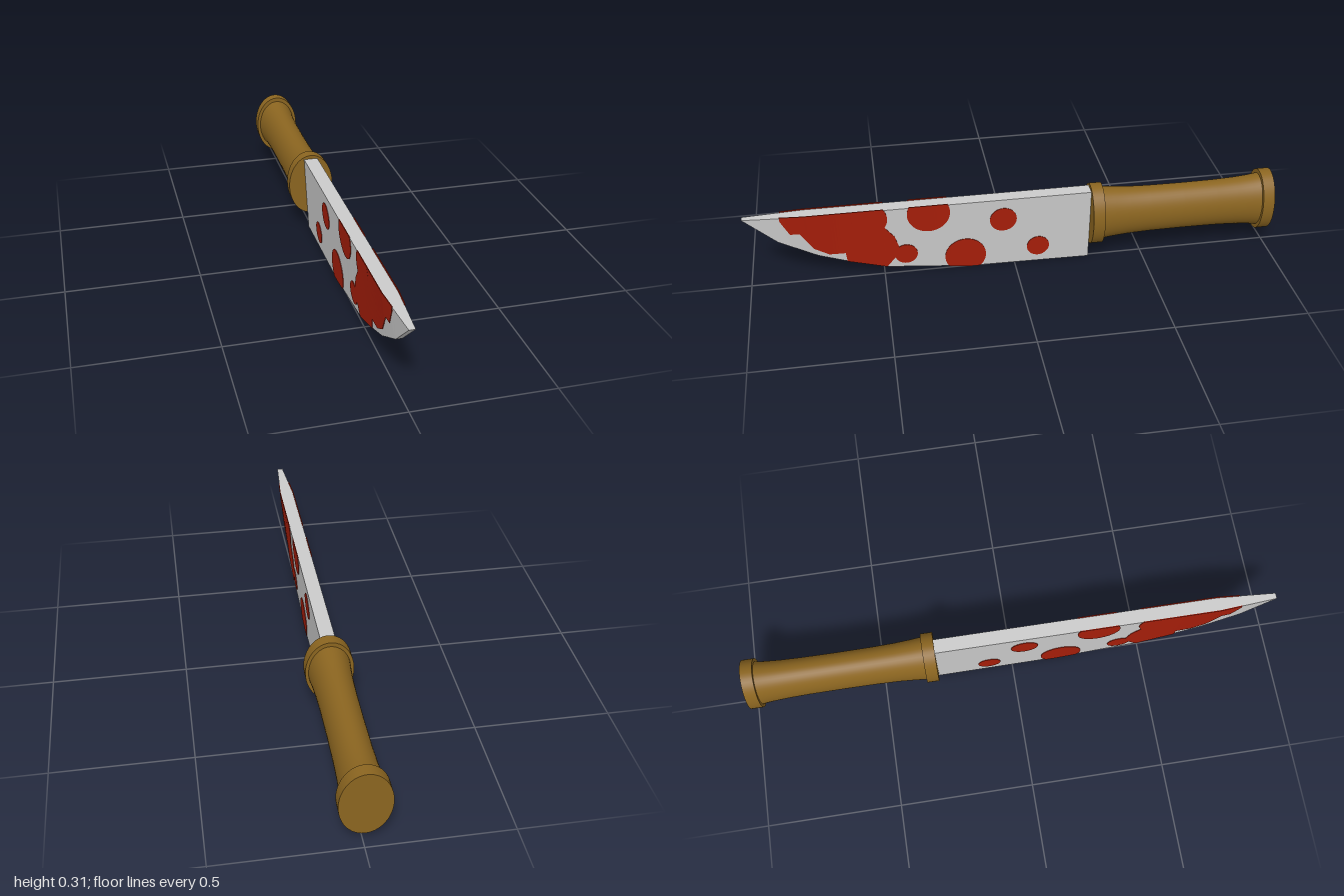
import * as THREE from 'three';

const TOP = 0.303, EDGE = 0.011, SPINE = 0.027;
// blade outline: [z, y of cutting edge]
const EDGE_CURVE = [[-0.29, 0.003], [0.17, 0.009], [0.48, 0.04], [0.64, 0.085], [0.74, 0.12], [0.88, 0.195], [1, TOP]];

// piecewise linear lookup of column k in a table sorted by its first column
function lookup(table, z, k = 1) {
  for (let i = 1; i < table.length; i++) {
    const a = table[i - 1], b = table[i];
    if (z <= b[0]) return THREE.MathUtils.lerp(a[k], b[k], Math.max(0, (z - a[0]) / (b[0] - a[0])));
  }
  return table[table.length - 1][k];
}

const bottomAt = z => lookup(EDGE_CURVE, z);
const spineAt = z => lookup([[-0.29, SPINE], [0.78, SPINE], [1, EDGE]], z);

// half thickness of the blade at a point of its side
function sideX(z, y) {
  const lo = bottomAt(z);
  const t = THREE.MathUtils.clamp((y - lo) / Math.max(TOP - lo, 1e-4), 0, 1);
  return THREE.MathUtils.lerp(EDGE, spineAt(z), t);
}

// flat-faced closed loft through four-cornered sections, ordered along +z
function loft(sections) {
  const pos = [];
  const quad = (a, b, c, d) => pos.push(...a, ...b, ...c, ...a, ...c, ...d);
  for (let s = 1; s < sections.length; s++) {
    const a = sections[s - 1], b = sections[s];
    for (let i = 0; i < 4; i++) {
      const j = (i + 1) % 4;
      quad(a[i], a[j], b[j], b[i]);
    }
  }
  quad(...[...sections[0]].reverse());
  quad(...sections[sections.length - 1]);
  const g = new THREE.BufferGeometry();
  g.setAttribute('position', new THREE.Float32BufferAttribute(pos, 3));
  g.computeVertexNormals();
  return g;
}

// thin stain lying on one side of the blade; columns are [z, low, high]
function stainGeometry(columns, side) {
  const sections = columns.map(([z, low, high]) => {
    const lo = Math.max(low, bottomAt(z) - 0.001), hi = Math.max(lo, Math.min(high, 0.307));
    const xl = sideX(z, lo), xh = sideX(z, hi);
    const ring = [[xl - 0.001, lo, z], [xl + 0.002, lo, z], [xh + 0.002, hi, z], [xh - 0.001, hi, z]];
    return side > 0 ? ring : ring.map(([x, y, w]) => [-x, y, w]).reverse();
  });
  return loft(sections);
}

function roundStain(cz, cy, r) {
  const n = 24;
  return Array.from({ length: n + 1 }, (_, i) => {
    const a = Math.PI * (1 - i / n);
    return [cz + r * Math.cos(a), cy - r * Math.sin(a), cy + r * Math.sin(a)];
  });
}

function splashStain() {
  const outline = [
    [0.44, 0.115, 0.13], [0.455, 0.085, 0.18], [0.49, 0.041, 0.225], [0.495, 0.04, 0.307],
    [0.636, 0.08, 0.307], [0.64, 0.123, 0.307], [0.70, 0.123, 0.307], [0.754, 0.155, 0.307],
    [0.80, 0.228, 0.307], [0.834, 0.228, 0.307], [0.865, 0.29, 0.307]
  ];
  const zs = outline.map(p => p[0]);
  for (let i = 1; i < 40; i++) zs.push(0.44 + 0.425 * i / 40);
  return zs.sort((a, b) => a - b).map(z => [z, lookup(outline, z, 1), lookup(outline, z, 2)]);
}

export function createModel() {
  const model = new THREE.Group();
  model.name = 'knife';
  const steel = new THREE.MeshStandardMaterial({ color: 0xcccccc });
  const wood = new THREE.MeshStandardMaterial({ color: 0x8b6520 });
  const red = new THREE.MeshStandardMaterial({ color: 0xa81e0a });

  const add = (name, geometry, material, parent = model) => {
    const mesh = new THREE.Mesh(geometry, material);
    mesh.name = name;
    parent.add(mesh);
    return mesh;
  };

  // blade: wedge section, wide at the spine, narrowing to the tip
  const zs = EDGE_CURVE.map(p => p[0]).concat(0.78);
  for (let i = 1; i < 30; i++) zs.push(-0.29 + 1.29 * i / 30);
  zs.sort((a, b) => a - b);
  add('blade', loft(zs.map(z => {
    const lo = bottomAt(z), w = spineAt(z);
    return [[-EDGE, lo, z], [EDGE, lo, z], [w, TOP, z], [-w, TOP, z]];
  })), steel);

  // stains, the same on both sides
  const stains = [
    splashStain(),
    roundStain(0.55, 0.265, 0.072),
    roundStain(0.415, 0.095, 0.043),
    roundStain(0.325, 0.272, 0.08),
    roundStain(0.19, 0.062, 0.078),
    roundStain(0.045, 0.215, 0.051),
    roundStain(-0.09, 0.077, 0.043)
  ];
  for (const side of [1, -1]) {
    const group = new THREE.Group();
    group.name = side > 0 ? 'leftStains' : 'rightStains';
    stains.forEach(columns => add('stain', stainGeometry(columns, side), red, group));
    model.add(group);
  }

  // handle: oval grip with a collar at each end
  const handle = new THREE.Group();
  handle.name = 'handle';
  handle.position.y = 0.193;
  model.add(handle);
  const oval = g => g.scale(0.704, 1, 1).rotateX(Math.PI / 2);
  // after turning, the profile's y runs along z and its radius stays upright
  const ovalUpright = g => g.scale(0.704, 1, 1).rotateX(Math.PI / 2);
  const grip = [[0.109, -0.96], [0.103, -0.92], [0.098, -0.86], [0.095, -0.78], [0.094, -0.65],
    [0.095, -0.52], [0.098, -0.44], [0.103, -0.38], [0.109, -0.33]];
  add('grip', ovalUpright(new THREE.LatheGeometry(grip.map(p => new THREE.Vector2(...p)), 48)), wood, handle);
  for (const [name, z] of [['frontCollar', -0.3125], ['pommel', -0.9775]]) {
    add(name, oval(new THREE.CylinderGeometry(0.125, 0.125, 0.045, 48)), wood, handle).position.z = z;
  }
  return model;
}
